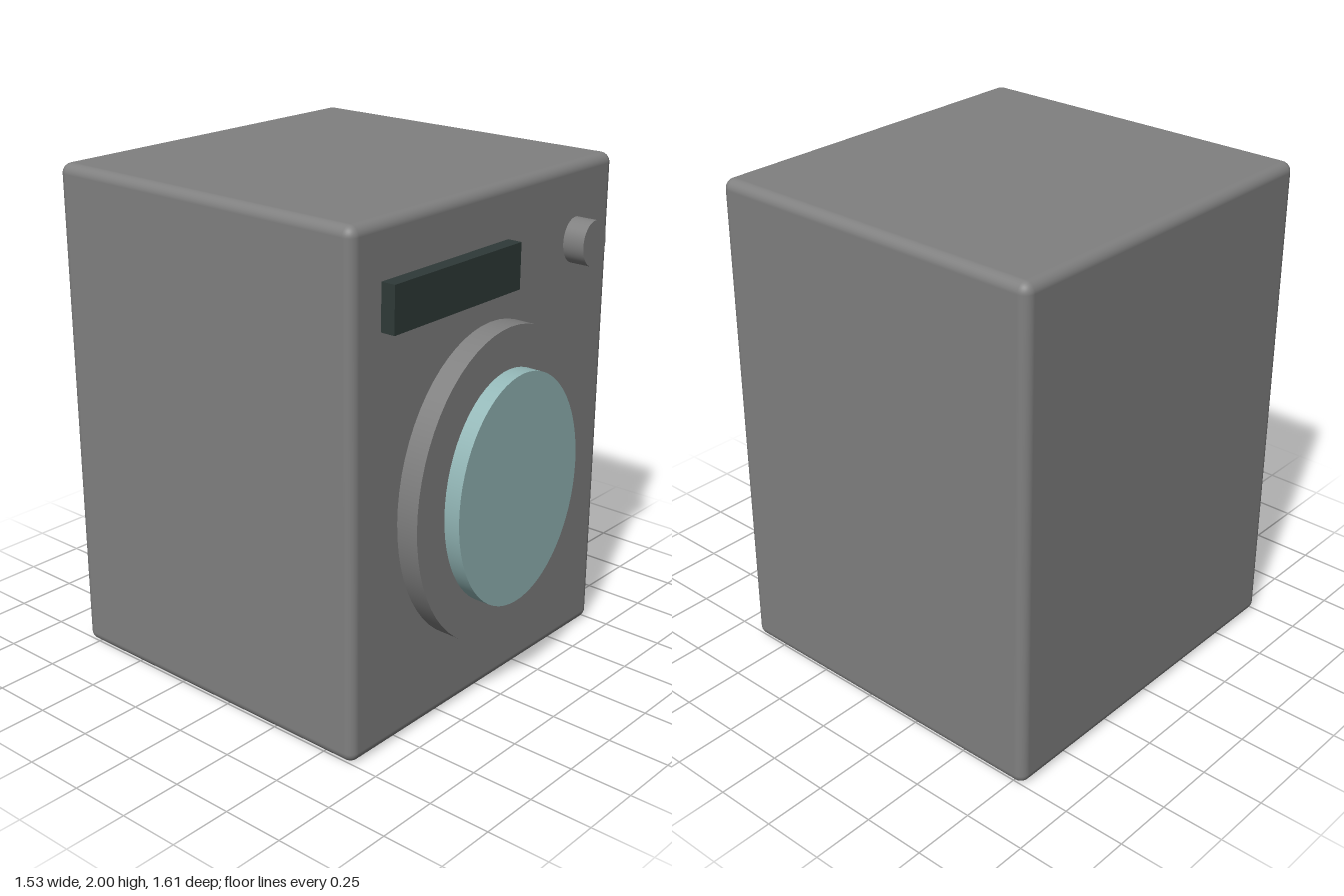
import * as THREE from 'three';
import { RoundedBoxGeometry } from 'three/addons/geometries/RoundedBoxGeometry.js';

const FRONT = 0.647; // z of the cabinet's front face
const BACK = -0.803;

function material(name, color) {
  const m = new THREE.MeshStandardMaterial({ color });
  m.name = name;
  return m;
}

export function createModel() {
  const model = new THREE.Group();
  model.name = 'washingMachine';
  const grey = material('cabinet grey', 0x808080);
  const glass = material('door glass', 0x94b8b8);
  const dark = material('dark display', 0x2f3a38);

  function add(name, geometry, mat, x, y, z) {
    const mesh = new THREE.Mesh(geometry, mat);
    mesh.name = name;
    mesh.position.set(x, y, z);
    model.add(mesh);
  }

  // Upright oval disc facing the front, spanning z0 to z1
  function addDisc(name, mat, x, y, rx, ry, z0, z1) {
    const geometry = new THREE.CylinderGeometry(1, 1, z1 - z0, 64);
    geometry.rotateX(Math.PI / 2).scale(rx, ry, 1);
    add(name, geometry, mat, x, y, (z0 + z1) / 2);
  }

  // Cabinet with softened edges
  add('cabinet', new RoundedBoxGeometry(1.526, 2, FRONT - BACK, 4, 0.04), grey, 0, 1, (FRONT + BACK) / 2);

  // Door ring and window
  addDisc('doorRing', grey, 0, 0.883, 0.518, 0.619, FRONT - 0.02, 0.737);
  addDisc('doorGlass', glass, 0, 0.883, 0.364, 0.458, 0.72, 0.803);

  // Control panel
  add('display', new THREE.BoxGeometry(0.704, 0.176, 0.077), dark, -0.26, 1.702, 0.6665);
  addDisc('knob', grey, 0.52, 1.702, 0.075, 0.089, FRONT - 0.02, 0.737);

  return model;
}
